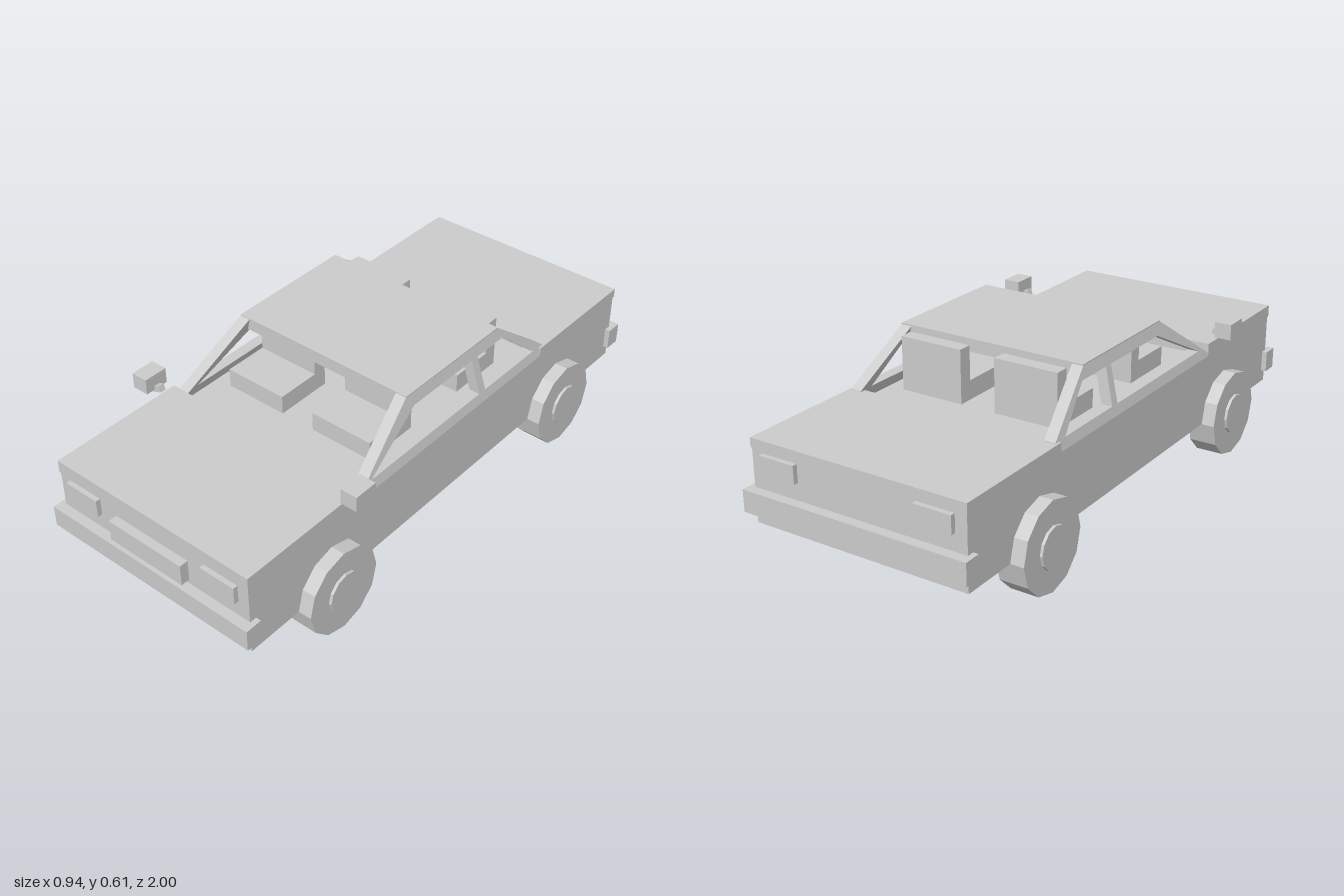
import * as THREE from 'three';

const material = new THREE.MeshStandardMaterial({ color: 0xcccccc, flatShading: true });

export function createModel() {
  const car = new THREE.Group();
  car.name = 'car';

  const add = (name, geometry, parent = car) => {
    const mesh = new THREE.Mesh(geometry, material);
    mesh.name = name;
    parent.add(mesh);
    return mesh;
  };

  // Box given by its lower and upper limits on each axis
  const box = (name, [x0, x1], [y0, y1], [z0, z1], parent = car) => {
    const mesh = add(name, new THREE.BoxGeometry(x1 - x0, y1 - y0, z1 - z0), parent);
    mesh.position.set((x0 + x1) / 2, (y0 + y1) / 2, (z0 + z1) / 2);
    return mesh;
  };

  // The same box on the left (+x) or right (-x) side
  const sideBox = (name, s, [x0, x1], y, z, parent = car) =>
    box(name, s > 0 ? [x0, x1] : [-x1, -x0], y, z, parent);

  // Body, hood and trunk
  box('lowerBody', [-0.397, 0.397], [0.155, 0.408], [-0.965, 0.965]);
  box('hood', [-0.4, 0.4], [0.408, 0.453], [0.47, 0.968]);
  box('trunkLid', [-0.4, 0.4], [0.408, 0.44], [-0.968, -0.49]);
  box('roof', [-0.35, 0.35], [0.567, 0.612], [-0.29, 0.193]);

  // Bumpers and grille
  box('frontBumper', [-0.416, 0.416], [0.2, 0.276], [0.94, 1]);
  box('rearBumper', [-0.416, 0.416], [0.2, 0.276], [-1, -0.94]);
  box('grille', [-0.152, 0.152], [0.292, 0.368], [0.96, 0.996]);

  // Side window frame: front, middle and rear pillars with rails, leaning inward
  const outline = pts => pts.map(([z, y]) => new THREE.Vector2(z, y));
  const frameShape = new THREE.Shape(outline([
    [0.475, 0.408], [0.475, 0.418], [0.195, 0.609], [-0.287, 0.609], [-0.51, 0.442], [-0.51, 0.408]]));
  frameShape.holes.push(
    new THREE.Path(outline([[0.41, 0.443], [0.165, 0.568], [-0.138, 0.568], [-0.145, 0.443]])),
    new THREE.Path(outline([[-0.178, 0.443], [-0.168, 0.568], [-0.31, 0.568], [-0.455, 0.443]])));
  const windowFrame = s => {
    const geometry = new THREE.ExtrudeGeometry(frameShape, { depth: 0.04, bevelEnabled: false });
    geometry.rotateY(-Math.PI / 2);
    const p = geometry.attributes.position;
    for (let i = 0; i < p.count; i++) {
      const x = p.getX(i) + (s > 0 ? 0 : 0.04);
      p.setX(i, x + s * (0.4 - 0.25 * (p.getY(i) - 0.408)));
    }
    geometry.computeVertexNormals();
    add('windowFrame', geometry);
  };

  // Wheel: twelve-sided tyre with a raised hub
  const wheel = (s, z) => {
    const group = new THREE.Group();
    group.name = 'wheel';
    group.position.set(s * 0.395, 0.155, z);
    car.add(group);
    const disc = (name, radius, width, x) => {
      const geometry = new THREE.CylinderGeometry(radius, radius, width, 12);
      geometry.rotateZ(Math.PI / 2);
      if (name === 'tyre') geometry.rotateX(Math.PI / 6);
      add(name, geometry, group).position.x = s * x;
    };
    disc('tyre', 0.155, 0.1, 0);
    disc('hub', 0.072, 0.04, 0.04);
  };

  // Seat: cushion and upright back
  const seat = (s, z) => {
    const group = new THREE.Group();
    group.name = 'seat';
    car.add(group);
    sideBox('seatCushion', s, [0.065, 0.3], [0.405, 0.475], [z + 0.05, z + 0.21], group);
    sideBox('seatBack', s, [0.065, 0.3], [0.405, 0.595], [z, z + 0.05], group);
  };

  for (const s of [1, -1]) {
    windowFrame(s);
    for (const z of [0.605, -0.605]) wheel(s, z);
    for (const z of [0.1, -0.355]) seat(s, z);
    sideBox('headlight', s, [0.22, 0.355], [0.335, 0.397], [0.955, 0.982]);
    sideBox('tailLight', s, [0.22, 0.355], [0.335, 0.397], [-0.982, -0.955]);

    // Wing mirror on a short tilted stalk
    sideBox('mirror', s, [0.411, 0.472], [0.474, 0.53], [0.49, 0.578]);
    const stalk = add('mirrorStalk', new THREE.BoxGeometry(0.045, 0.022, 0.022));
    stalk.position.set(s * 0.408, 0.478, 0.533);
    stalk.rotation.z = -s * 0.35;
  }

  return car;
}
